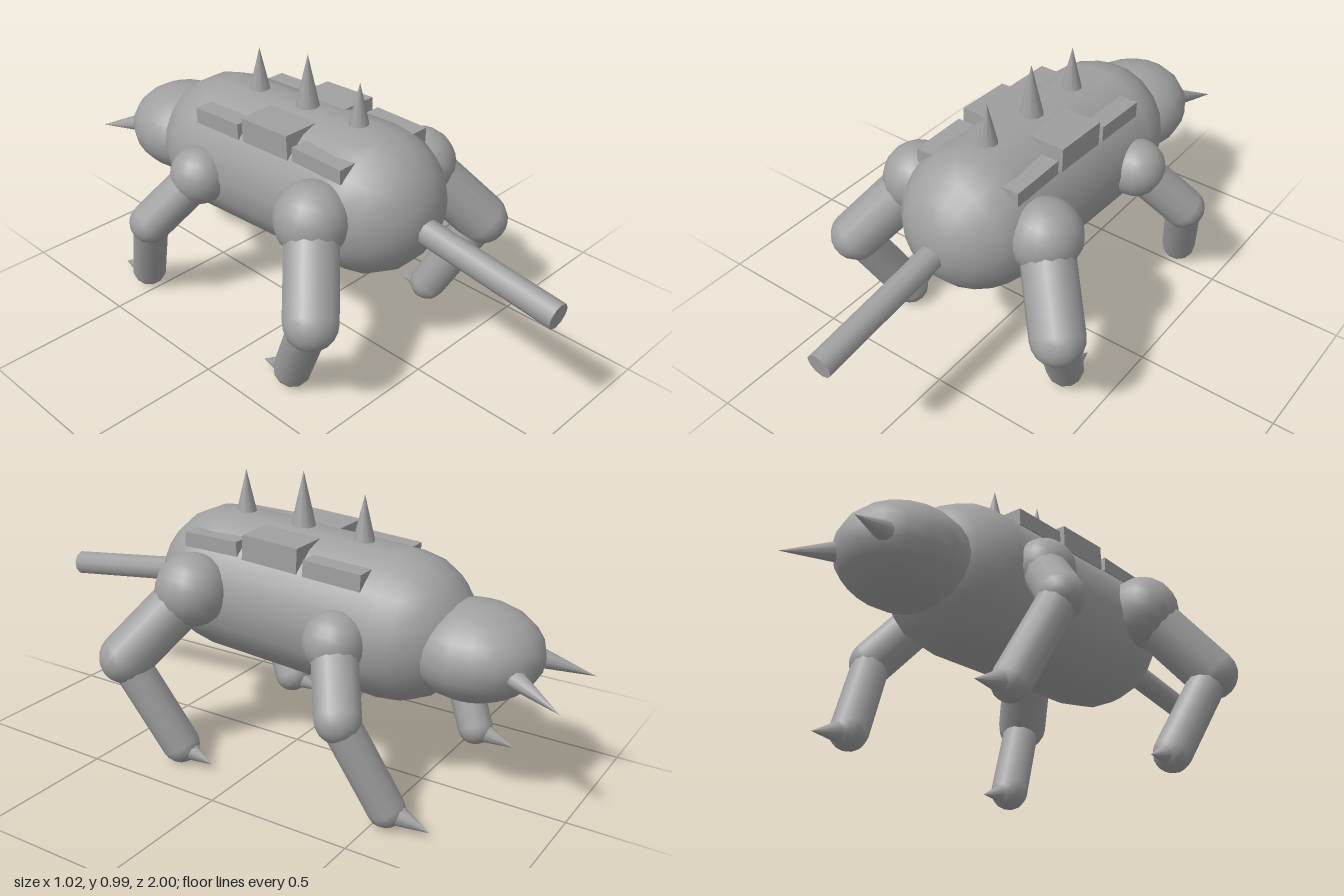
import * as THREE from 'three';

const V = (x, y, z) => new THREE.Vector3(x, y, z);
const UP = V(0, 1, 0);

export function createModel() {
  const model = new THREE.Group();
  model.name = 'spikedCreature';
  const grey = new THREE.MeshStandardMaterial({ color: 0xa0a0a0 });
  grey.name = 'stone grey';

  function add(name, geometry, position, parent = model) {
    const mesh = new THREE.Mesh(geometry, grey);
    mesh.name = name;
    mesh.position.copy(position);
    parent.add(mesh);
    return mesh;
  }

  // Place a y-aligned geometry so that its axis runs from a to b
  function along(name, makeGeometry, a, b, parent) {
    const dir = b.clone().sub(a);
    const mesh = add(name, makeGeometry(dir.length()), a.clone().add(b).multiplyScalar(0.5), parent);
    mesh.quaternion.setFromUnitVectors(UP, dir.normalize());
    return mesh;
  }
  const capsule = (name, r, a, b, sides, parent) =>
    along(name, (len) => new THREE.CapsuleGeometry(r, len, 5, sides), a, b, parent);
  const spike = (name, r, base, tip, parent) =>
    along(name, (len) => new THREE.ConeGeometry(r, len, 10), base, tip, parent);

  // Body, head and tail
  capsule('body', 0.25, V(0, 0.582, 0.26), V(0, 0.542, -0.4), 18);
  add('head', new THREE.SphereGeometry(1, 18, 12), V(0, 0.513, -0.66)).scale.set(0.205, 0.158, 0.223);
  along('tail', (len) => new THREE.CylinderGeometry(0.044, 0.044, len, 10), V(0, 0.567, 0.42), V(0, 0.491, 0.995));

  // Armour slabs across the back
  const slabs = [
    [0.21, 0.755, 0.05, 0],
    [-0.023, 0.761, 0.085, -0.05],
    [-0.255, 0.733, 0.056, -0.05],
  ];
  for (const [z, y, height, tilt] of slabs) {
    add('backPlate', new THREE.BoxGeometry(0.4, height, 0.21), V(0, y, z)).rotation.x = tilt;
  }

  // Spikes along the spine
  for (const [z, base, tip, r] of [[0.205, 0.79, 0.968, 0.042], [-0.025, 0.785, 0.993, 0.047], [-0.256, 0.77, 0.948, 0.042]]) {
    spike('backSpike', r, V(0, base, z), V(0, tip, z));
  }

  // Horns and legs, built once for each side
  for (const s of [1, -1]) {
    const side = s > 0 ? 'left' : 'right';
    spike(side + 'Horn', 0.036, V(s * 0.092, 0.496, -0.82), V(s * 0.158, 0.445, -1));

    const legs = [
      {
        name: 'TailEndLeg', hip: V(s * 0.255, 0.605, 0.25), hipR: 0.125,
        knee: V(s * 0.42, 0.382, 0.41), upperR: 0.09,
        foot: V(s * 0.345, 0.07, 0.25), lowerR: 0.065,
        claw: V(s * 0.348, 0.03, 0.115), clawBase: V(s * 0.346, 0.055, 0.205),
      },
      {
        name: 'HeadEndLeg', hip: V(s * 0.25, 0.54, -0.3), hipR: 0.102,
        knee: V(s * 0.395, 0.365, -0.405), upperR: 0.075,
        foot: V(s * 0.325, 0.07, -0.54), lowerR: 0.062,
        claw: V(s * 0.322, 0.03, -0.69), clawBase: V(s * 0.323, 0.055, -0.59),
      },
    ];
    for (const leg of legs) {
      const group = new THREE.Group();
      group.name = side + leg.name;
      model.add(group);
      add('hip', new THREE.SphereGeometry(leg.hipR, 16, 12), leg.hip, group);
      capsule('upperLeg', leg.upperR, leg.hip, leg.knee, 12, group);
      capsule('lowerLeg', leg.lowerR, leg.knee, leg.foot, 12, group);
      spike('claw', 0.032, leg.clawBase, leg.claw, group);
    }
  }
  return model;
}
